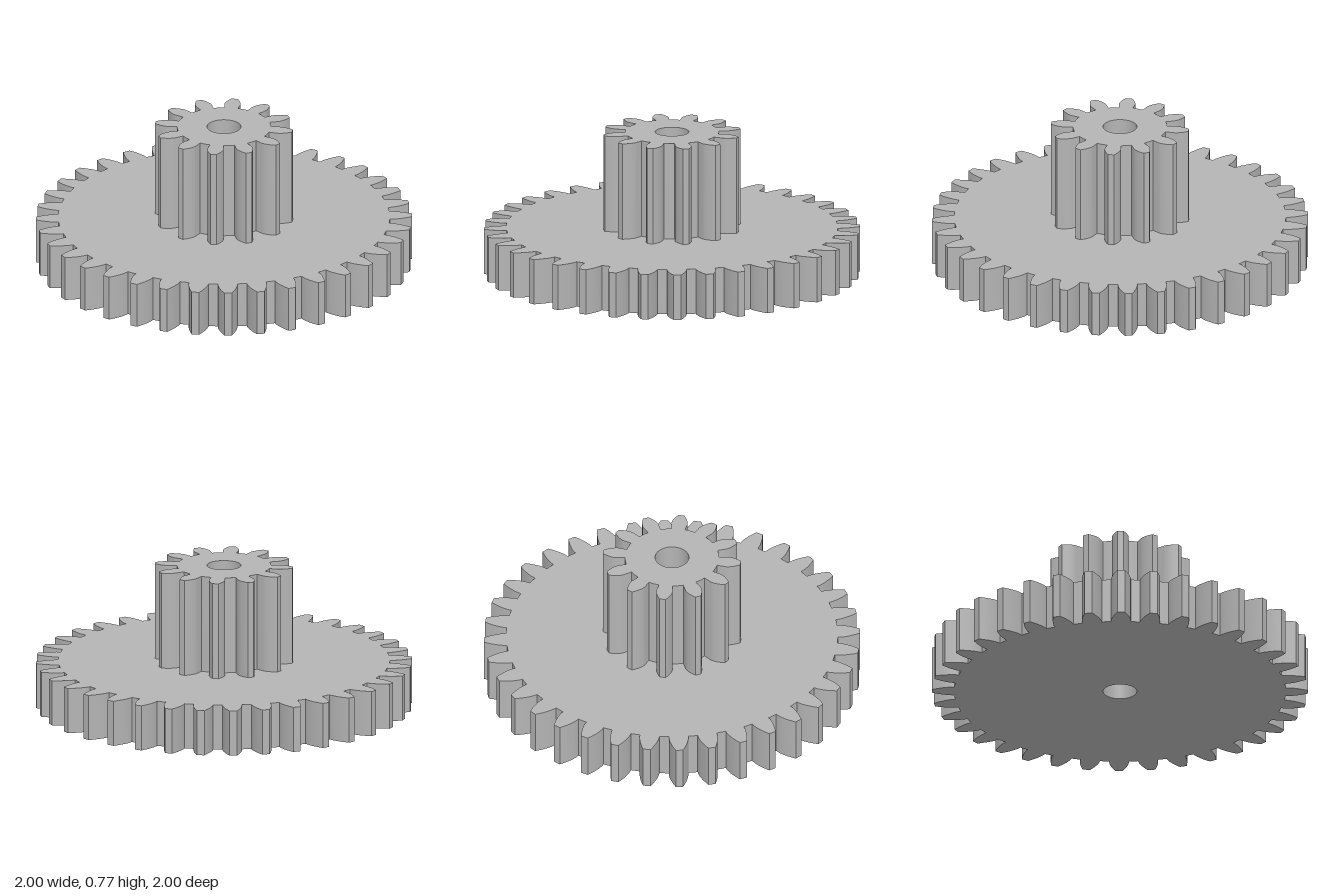
import * as THREE from 'three';
import { toCreasedNormals } from 'three/addons/utils/BufferGeometryUtils.js';

const MODULE = 2 / 38;                       // shared tooth size
const PRESSURE = THREE.MathUtils.degToRad(20);
const BORE = 0.09;
const inv = (a) => Math.tan(a) - a;          // involute function

// Spur gear outline with involute flanks and a round bore
function gearShape(teeth) {
  const pitch = MODULE * teeth / 2;
  const tip = pitch + MODULE;
  const root = pitch - 1.25 * MODULE;
  const base = pitch * Math.cos(PRESSURE);
  const halfAngle = (r) =>
    Math.PI / (2 * teeth) + inv(PRESSURE) - (r > base ? inv(Math.acos(base / r)) : 0);

  // One flank from root to tip as [radius, half angle]
  const flank = [[root, halfAngle(root)]];
  const steps = 8;
  for (let i = 0; i <= steps; i++) {
    const r = base + (tip - base) * (i / steps) ** 1.5;
    flank.push([r, halfAngle(r)]);
  }

  const points = [];
  for (let t = 0; t < teeth; t++) {
    const centre = (t / teeth) * Math.PI * 2;
    const add = (r, a) => points.push(new THREE.Vector2(r * Math.cos(centre + a), r * Math.sin(centre + a)));
    flank.forEach(([r, a]) => add(r, -a));
    add(tip, 0);
    [...flank].reverse().forEach(([r, a]) => add(r, a));
    add(root, Math.PI / teeth);              // middle of the valley
  }
  const shape = new THREE.Shape(points);
  shape.holes.push(new THREE.Path().absarc(0, 0, BORE, 0, Math.PI * 2, true));
  return shape;
}

function makeGear(name, teeth, bottom, top, material) {
  const extruded = new THREE.ExtrudeGeometry(gearShape(teeth), {
    depth: top - bottom, bevelEnabled: false, curveSegments: 24,
  });
  extruded.rotateX(-Math.PI / 2);
  extruded.translate(0, bottom, 0);
  const mesh = new THREE.Mesh(toCreasedNormals(extruded, 0.4), material);
  mesh.name = name;
  return mesh;
}

export function createModel() {
  const grey = new THREE.MeshStandardMaterial({ color: 0xb4b4b4 });
  grey.name = 'plain grey';

  const model = new THREE.Group();
  model.name = 'compoundGear';
  model.add(
    makeGear('largeGear', 36, 0, 0.246, grey),
    makeGear('pinion', 12, 0.246, 0.77, grey),
  );
  return model;
}
